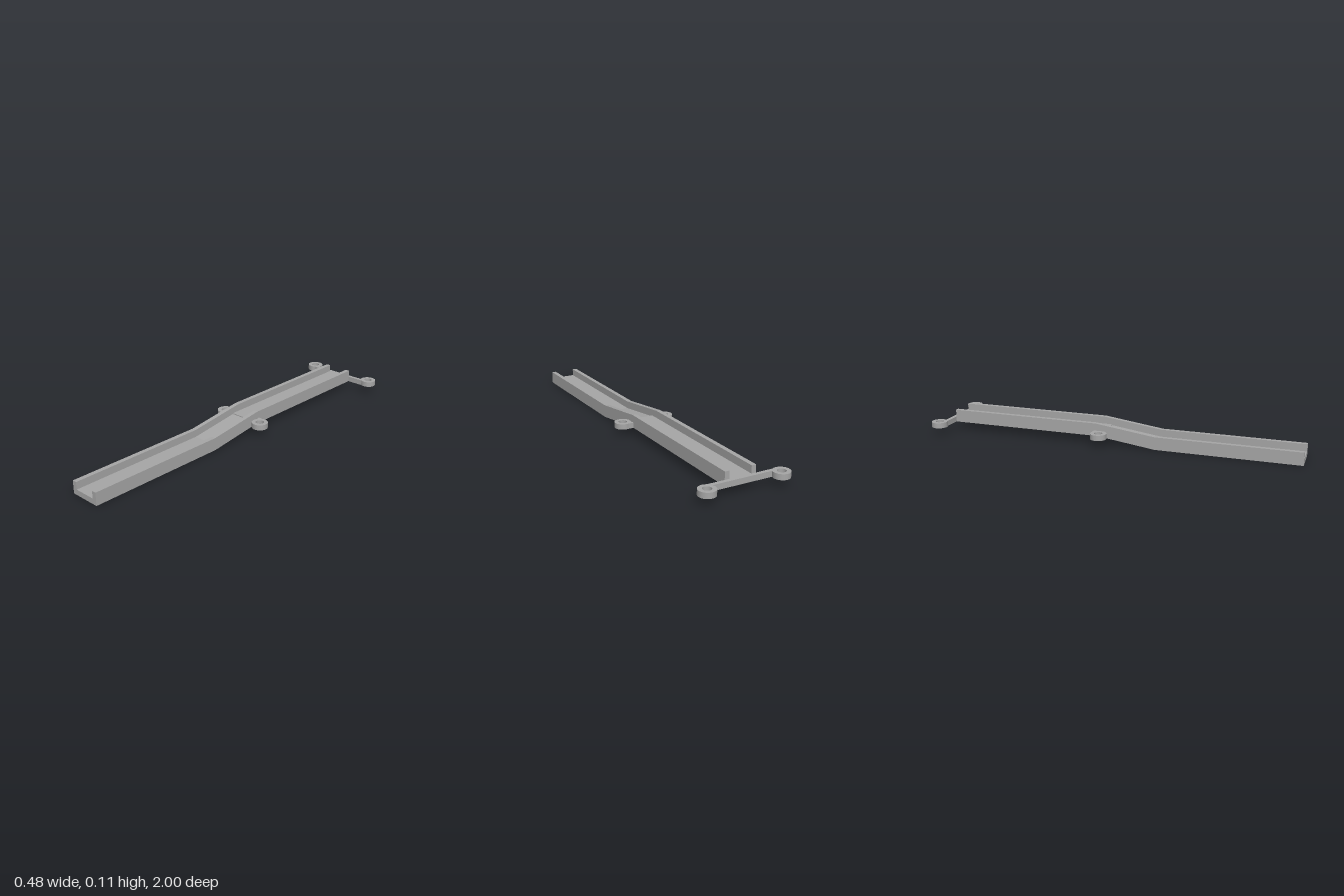
import * as THREE from 'three';

export function createModel() {
  const group = new THREE.Group();
  group.name = 'cableChannel';
  const grey = new THREE.MeshStandardMaterial({ color: 0xa6a6a6 });
  grey.name = 'grey plastic';

  const add = (name, geometry, x = 0, y = 0, z = 0) => {
    const mesh = new THREE.Mesh(geometry, grey);
    mesh.name = name;
    mesh.position.set(x, y, z);
    group.add(mesh);
  };

  // Extrude a side profile of [z, y] points across the width
  const sideProfile = (points, width) => {
    const shape = new THREE.Shape(points.map(([z, y]) => new THREE.Vector2(z, y)));
    const geometry = new THREE.ExtrudeGeometry(shape, { depth: width, bevelEnabled: false });
    return geometry.translate(0, 0, -width / 2).rotateY(-Math.PI / 2);
  };

  const halfWidth = 0.083, wall = 0.024;
  const low = 0.043, tabHeight = 0.029; // underside of the raised run, tab thickness

  // Channel floor, with a small step at the top of the ramp
  add('channelFloor', sideProfile([
    [1, 0], [1, 0.029], [0.243, 0.029], [-0.04, 0.067], [-0.04, 0.072],
    [-0.94, 0.072], [-0.94, low], [-0.04, low], [-0.04, 0.038], [0.243, 0],
  ], 2 * (halfWidth - wall)));

  // Eyelet: a flat ring with an upright hole
  const ringShape = new THREE.Shape().absarc(0, 0, 0.043, 0, Math.PI * 2, false);
  ringShape.holes.push(new THREE.Path().absarc(0, 0, 0.022, 0, Math.PI * 2, true));
  const ring = new THREE.ExtrudeGeometry(ringShape, { depth: tabHeight, bevelEnabled: false, curveSegments: 40 });
  ring.rotateX(-Math.PI / 2);

  const sideWall = sideProfile([
    [1, 0], [1, 0.068], [0.243, 0.068], [-0.083, 0.111], [-0.92, 0.111],
    [-0.92, low], [-0.04, low], [-0.04, 0.038], [0.243, 0],
  ], wall);
  const arm = new THREE.BoxGeometry(0.12, tabHeight, 0.02);
  const bridge = new THREE.BoxGeometry(0.04, tabHeight, 0.018);

  for (const [side, s] of [['left', 1], ['right', -1]]) {
    add(side + 'Wall', sideWall, s * (halfWidth - wall / 2));
    // Middle eyelet beside the ramp
    add(side + 'MiddleEyelet', ring, s * 0.125, low, -0.052);
    add(side + 'MiddleBridge', bridge, s * 0.1, low + tabHeight / 2, -0.084);
    // Rear eyelet on its arm
    add(side + 'RearArm', arm, s * 0.119, low + tabHeight / 2, -0.93);
    add(side + 'RearEyelet', ring, s * 0.198, low, -0.957);
  }
  return group;
}
